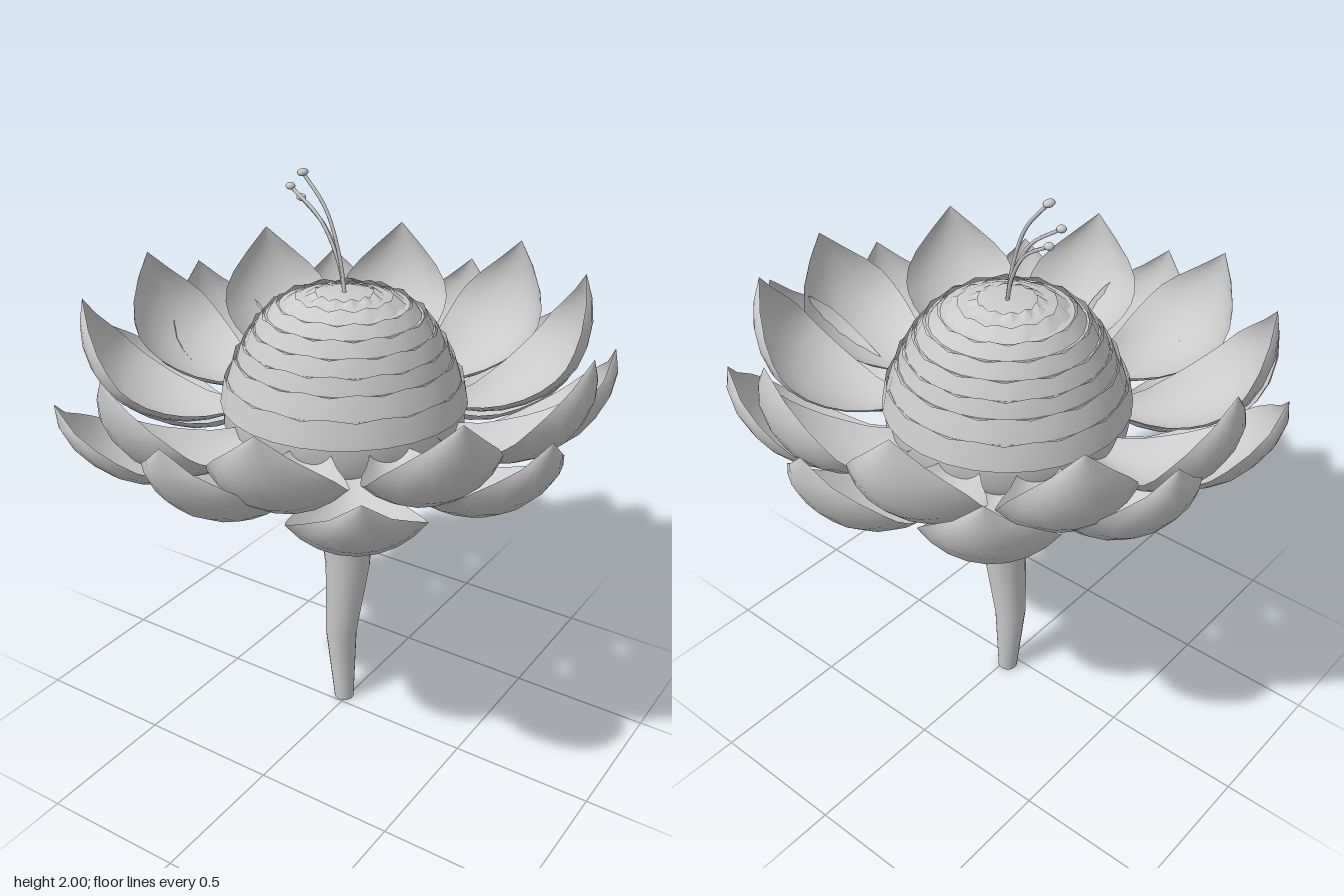
import * as THREE from 'three';
import { toCreasedNormals } from 'three/addons/utils/BufferGeometryUtils.js';

const CX = -0.015, CZ = -0.04; // axis of the flower
const material = new THREE.MeshStandardMaterial({ color: 0xcccccc, side: THREE.DoubleSide, roughness: 0.8 });

function add(parent, name, geometry) {
  const mesh = new THREE.Mesh(geometry, material);
  mesh.name = name;
  parent.add(mesh);
  return mesh;
}

// Surface from a grid: point(i, j) gives a position for row i, column j
function gridGeometry(rows, cols, point) {
  const positions = [], index = [];
  for (let i = 0; i <= rows; i++) for (let j = 0; j <= cols; j++) positions.push(...point(i, j));
  for (let i = 0; i < rows; i++) for (let j = 0; j < cols; j++) {
    const a = i * (cols + 1) + j, b = a + cols + 1;
    index.push(a, b, a + 1, b, b + 1, a + 1);
  }
  const g = new THREE.BufferGeometry();
  g.setAttribute('position', new THREE.Float32BufferAttribute(positions, 3));
  g.setIndex(index);
  g.computeVertexNormals();
  return g;
}

// Cupped petal growing along +x: a curved spine with arc cross-sections, pitched about its base
const petalWidths = [0.06, 0.105, 0.145, 0.175, 0.196, 0.206, 0.206, 0.19, 0.15, 0.085, 0];
function petalGeometry(spine, pitch) {
  const curve = new THREE.CatmullRomCurve3(spine.map(([r, y]) => new THREE.Vector3(r, y, 0)));
  const rows = petalWidths.length - 1, cols = 8, spread = 0.85;
  const [r0, y0] = spine[0];
  const petal = gridGeometry(rows, cols, (i, j) => {
    const t = i / rows, p = curve.getPointAt(t), d = curve.getTangentAt(t);
    const a = spread * (1 - 2 * j / cols), R = petalWidths[i] / Math.sin(spread);
    const rise = R * (1 - Math.cos(a));
    return [p.x - d.y * rise, p.y + d.x * rise, R * Math.sin(a)];
  });
  return petal.translate(-r0, -y0, 0).rotateZ(pitch).translate(r0, y0, 0);
}

// Sloping ring with a shallow zigzag upper edge
function zigzagBand(r0, y0, r1, y1, teeth, phase) {
  return gridGeometry(1, teeth * 2, (i, j) => {
    const a = (j / (teeth * 2)) * Math.PI * 2 + phase, peak = i && j % 2 ? 0.012 : 0;
    const r = i ? r1 : r0, y = (i ? y1 : y0) + peak;
    return [r * Math.cos(a), y, r * Math.sin(a)];
  });
}

export function createModel() {
  const model = new THREE.Group();
  model.name = 'flower';

  // Gently kinked, widening stem
  const stations = [[CX, 0, 0.036], [-0.028, 0.29, 0.057], [0, 0.59, 0.08], [CX, 0.97, 0.115]];
  add(model, 'stem', gridGeometry(stations.length - 1, 20, (i, j) => {
    const [x, y, r] = stations[i], a = -(j / 20) * Math.PI * 2;
    return [x + r * Math.cos(a), y, CZ - r * Math.sin(a)];
  }));
  const stemBase = add(model, 'stemBase', new THREE.CircleGeometry(0.036, 20));
  stemBase.rotation.x = Math.PI / 2;
  stemBase.position.set(CX, 0, CZ);

  const head = new THREE.Group();
  head.name = 'flowerHead';
  head.position.set(CX, 0, CZ);
  model.add(head);

  // Bowl below the petals
  const bowl = [[0, 0.96], [0.115, 0.96], [0.2, 1.0], [0.285, 1.05], [0.36, 1.105], [0.41, 1.18], [0.405, 1.27]];
  add(head, 'receptacle', toCreasedNormals(
    new THREE.LatheGeometry(bowl.map(([r, y]) => new THREE.Vector2(r, y)), 32), 0.7));

  // Stepped dome: each tier slopes inward and ends in a small ledge
  const tiers = [[0.41, 1.25], [0.385, 1.33], [0.35, 1.4], [0.325, 1.45], [0.29, 1.5],
    [0.25, 1.545], [0.2, 1.58], [0.13, 1.603]];
  const steps = [];
  tiers.forEach(([r, y], k) => {
    const [nextR, top] = tiers[k + 1] || [0.07, 1.615];
    const lip = nextR + (r - nextR) * 0.3;
    steps.push(new THREE.Vector2(r, y), new THREE.Vector2(lip, top));
    add(head, 'domeTier' + (k + 1), toCreasedNormals(
      zigzagBand(r + 0.008, y - 0.005, lip + 0.008, top, 14 - Math.floor(k / 3), k * 0.22), 0.5));
  });
  steps.push(new THREE.Vector2(0, 1.618));
  add(head, 'domeCore', toCreasedNormals(new THREE.LatheGeometry(steps, 28), 0.5));

  // Two whorls of ten petals, each with its own pitch in radians
  const whorls = [
    { name: 'innerPetal', start: 0,
      spine: [[0.38, 1.2], [0.5, 1.18], [0.66, 1.21], [0.785, 1.29], [0.85, 1.4], [0.868, 1.5], [0.855, 1.6]],
      pitches: [-0.05, -0.13, -0.16, -0.12, 0.02, 0.02, 0.02, 0.05, 0.08, 0.15] },
    { name: 'outerPetal', start: 18,
      spine: [[0.37, 1.125], [0.48, 1.085], [0.64, 1.1], [0.79, 1.17], [0.885, 1.28], [0.92, 1.37], [0.915, 1.46]],
      pitches: [-0.06, -0.18, -0.05, -0.16, 0, 0.09, 0.06, 0.07, 0.08, 0.1] },
  ];
  for (const { name, start, spine, pitches } of whorls) {
    pitches.forEach((pitch, k) => {
      const petal = add(head, name + (k + 1), petalGeometry(spine, pitch));
      petal.rotation.y = -THREE.MathUtils.degToRad(start + 36 * k);
    });
  }

  // Three arching stamens with small flattened tips
  const tips = [[-0.155, 1.988, 0.005], [-0.217, 1.932, -0.013], [-0.205, 1.888, -0.055]];
  tips.forEach(([x, y, z], k) => {
    const h = y - 1.6;
    const path = new THREE.CatmullRomCurve3([
      new THREE.Vector3(0.005, 1.59, 0),
      new THREE.Vector3(x * 0.12, 1.6 + h * 0.35, z * 0.2),
      new THREE.Vector3(x * 0.45, 1.6 + h * 0.73, z * 0.55),
      new THREE.Vector3(x, y, z)]);
    add(head, 'stamen' + (k + 1), new THREE.TubeGeometry(path, 14, 0.006, 6));
    const tip = add(head, 'stamenTip' + (k + 1), new THREE.SphereGeometry(0.016, 10, 8));
    tip.scale.set(1, 0.75, k === 0 ? 1.5 : 1);
    tip.position.set(x, y, z);
  });

  return model;
}
